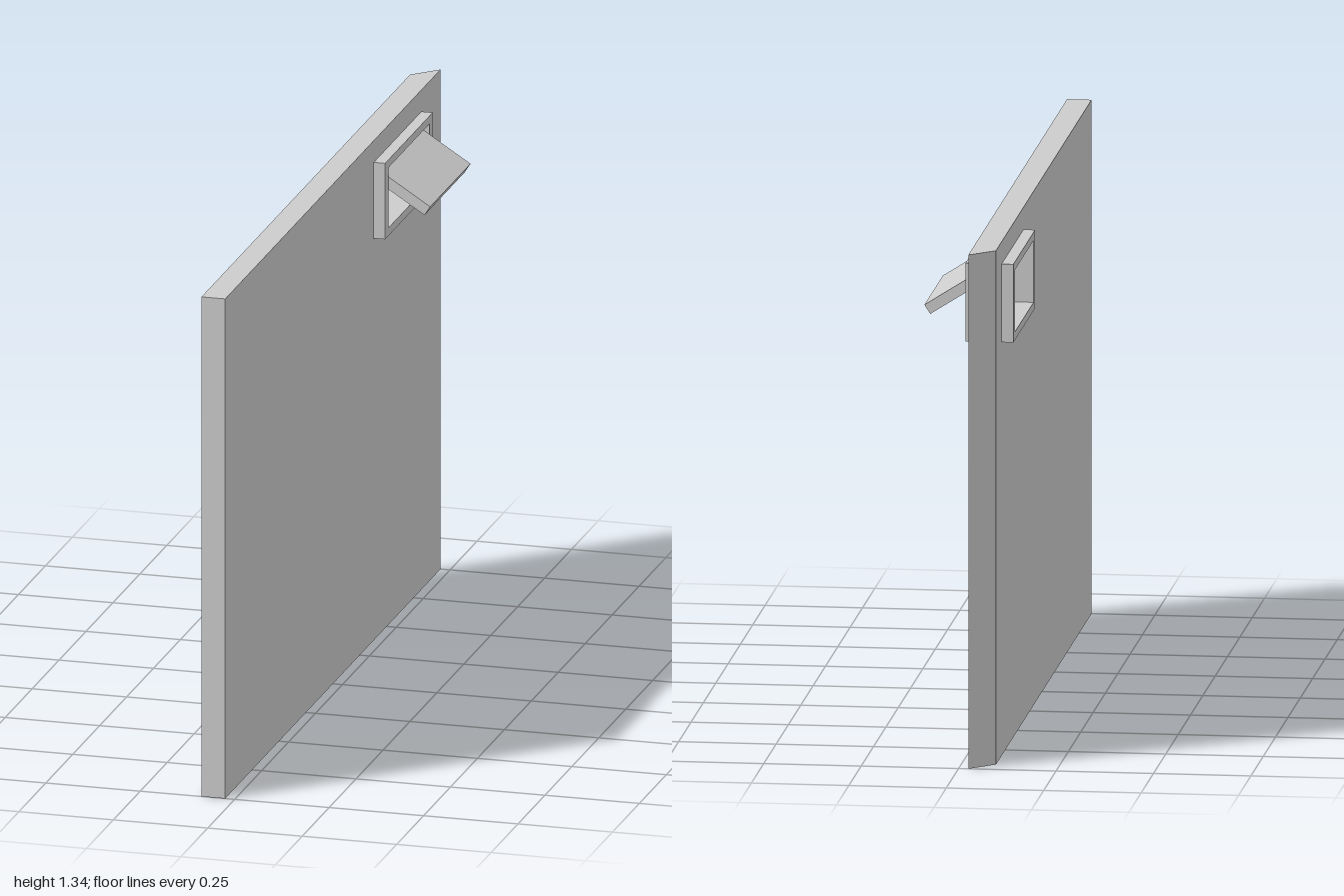
import * as THREE from 'three';

const material = new THREE.MeshStandardMaterial({ color: 0xcccccc, flatShading: true });

// Rectangular panel with a rectangular hole; rects are [z0, z1, y0, y1]
function holedPanel(name, outer, hole, x0, x1) {
  const corners = ([z0, z1, y0, y1]) =>
    [[-z1, y0], [-z0, y0], [-z0, y1], [-z1, y1]].map(p => new THREE.Vector2(...p));
  const shape = new THREE.Shape(corners(outer));
  shape.holes.push(new THREE.Path(corners(hole).reverse()));
  const geometry = new THREE.ExtrudeGeometry(shape, { depth: x1 - x0, bevelEnabled: false });
  geometry.rotateY(Math.PI / 2).translate(x0, 0, 0);
  const mesh = new THREE.Mesh(geometry, material);
  mesh.name = name;
  return mesh;
}

export function createModel() {
  const group = new THREE.Group();
  group.name = 'doorWithFlap';

  // Door panel, with its back edge cut at 45 degrees
  const panel = holedPanel('doorPanel', [-1, 1, 0, 1.335], [-0.81, -0.395, 1.085, 1.267], -0.088, -0.025);
  const pos = panel.geometry.attributes.position;
  for (let i = 0; i < pos.count; i++) {
    if (pos.getZ(i) < -0.99 && pos.getX(i) < -0.08) pos.setZ(i, -0.937);
  }
  panel.geometry.computeVertexNormals();
  group.add(panel);

  // Frame lining the slot, standing proud on both faces
  group.add(holedPanel('slotFrame', [-0.822, -0.379, 1.074, 1.277], [-0.79, -0.411, 1.095, 1.256], -0.118, 0.005));

  // Flap hinged at the top of the slot, swung outward
  const length = 0.178, thickness = 0.028;
  const flap = new THREE.Mesh(
    new THREE.BoxGeometry(length, thickness, 0.375).translate(length / 2, -thickness / 2, 0), material);
  flap.name = 'flap';
  flap.position.set(-0.036, 1.255, -0.602);
  flap.rotation.z = -0.565;
  group.add(flap);

  return group;
}
